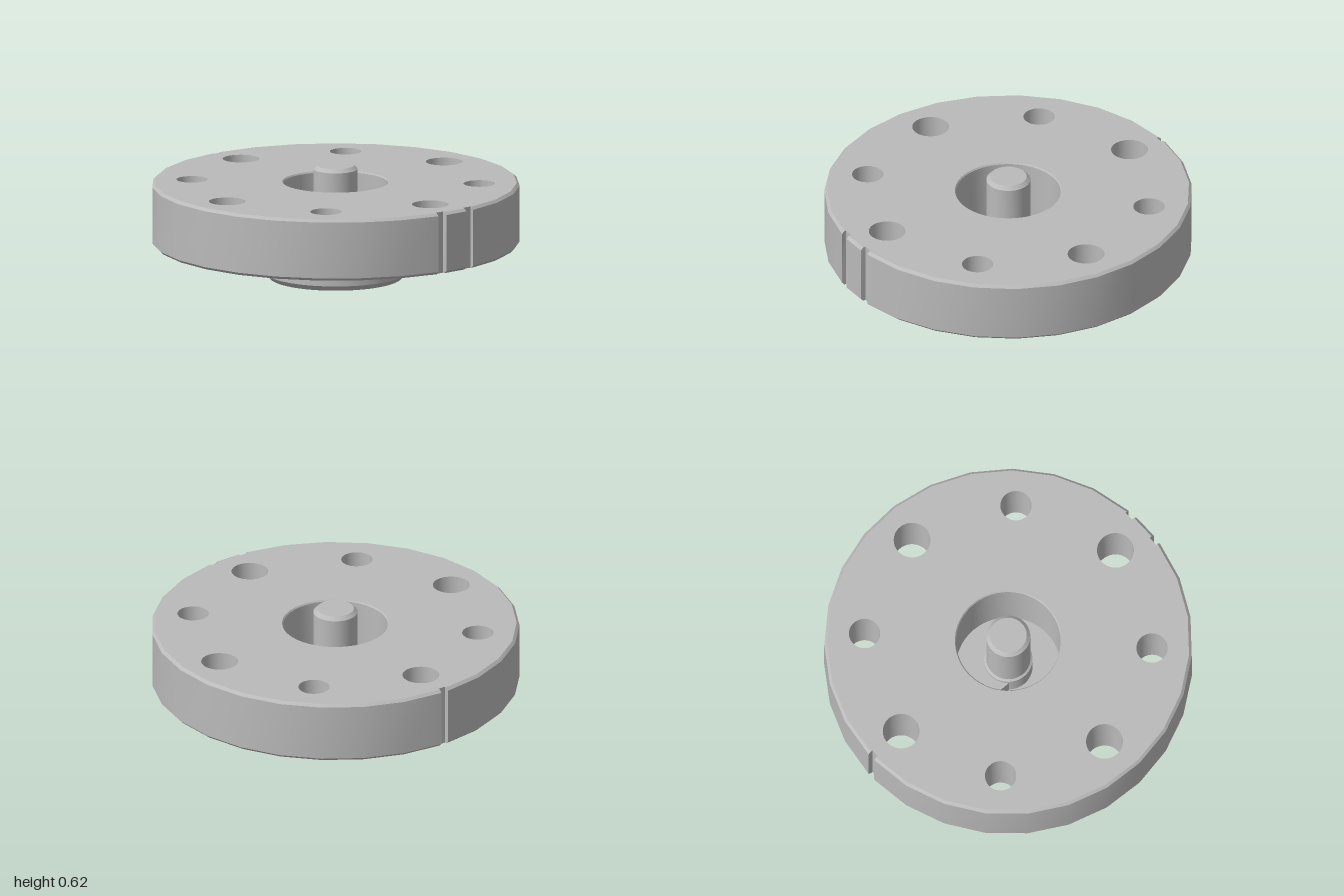
import * as THREE from 'three';
import { toCreasedNormals } from 'three/addons/utils/BufferGeometryUtils.js';

const TOP = 0.53, BOTTOM = 0.19, CHAMFER = 0.015;

export function createModel() {
  const group = new THREE.Group();
  const steel = new THREE.MeshStandardMaterial({ color: 0xbababa, side: THREE.DoubleSide });
  steel.name = 'steel grey';

  const add = (name, geometry, x = 0, z = 0) => {
    const mesh = new THREE.Mesh(toCreasedNormals(geometry, 0.45), steel);
    mesh.name = name;
    mesh.position.set(x, 0, z);
    group.add(mesh);
  };
  const lathe = (points, segments = 48) =>
    new THREE.LatheGeometry(points.map(([r, y]) => new THREE.Vector2(r, y)), segments);

  // Plate outline: faceted circle with two notches in front and one behind
  const rim = (x, sign) => [x, sign * Math.sqrt(1 - x * x)];
  const half = [rim(0.072, 1), [0.072, 0.968], [0.126, 0.968]];
  const a0 = Math.asin(0.126), a1 = Math.PI - Math.asin(0.022);
  for (let i = 0; i <= 13; i++) {
    const a = a0 + (a1 - a0) * i / 13;
    half.push([Math.sin(a), Math.cos(a)]);
  }
  half.push([0.022, -0.973]);
  const outline = [...half, ...half.map(([x, z]) => [-x, z]).reverse()];
  const inset = outline.map(([x, z]) => {
    const k = Math.min(1, (1 - CHAMFER) / Math.hypot(x, z));
    return [x * k, z * k];
  });

  // Rim wall with chamfered edges
  const rings = [[inset, BOTTOM], [outline, BOTTOM + CHAMFER], [outline, TOP - CHAMFER], [inset, TOP]];
  const pos = [];
  for (let r = 0; r < 3; r++) {
    const [lo, y0] = rings[r], [hi, y1] = rings[r + 1];
    for (let i = 0; i < outline.length; i++) {
      const j = (i + 1) % outline.length;
      const a = [lo[i][0], y0, lo[i][1]], b = [lo[j][0], y0, lo[j][1]];
      const c = [hi[j][0], y1, hi[j][1]], d = [hi[i][0], y1, hi[i][1]];
      pos.push(...a, ...b, ...c, ...a, ...c, ...d);
    }
  }
  const wall = new THREE.BufferGeometry();
  wall.setAttribute('position', new THREE.Float32BufferAttribute(pos, 3));
  add('plateRim', wall);

  // Eight through holes, alternating in size, and three blind drill points
  const holes = [], dimples = [];
  for (let i = 0; i < 8; i++) {
    const a = i * Math.PI / 4;
    holes.push([0.782 * Math.sin(a), 0.782 * Math.cos(a), i % 2 ? 0.085 : 0.1]);
  }
  for (let i = 0; i < 3; i++) {
    const a = Math.PI + i * Math.PI * 2 / 3;
    dimples.push([0.53 * Math.sin(a), 0.53 * Math.cos(a), 0.07]);
  }
  const cap = (openings, y, s) => {
    const shape = new THREE.Shape(inset.map(([x, z]) => new THREE.Vector2(x, -s * z)));
    for (const [x, z, r] of openings) {
      shape.holes.push(new THREE.Path().absarc(x, -s * z, r, 0, Math.PI * 2, true));
    }
    return new THREE.ShapeGeometry(shape, 24).rotateX(-s * Math.PI / 2).translate(0, y, 0);
  };
  add('plateTop', cap([...holes, [0, 0, 0.29]], TOP, 1));
  add('plateUnderside', cap([...holes, ...dimples, [0, 0, 0.388]], BOTTOM, -1));
  for (const [x, z, r] of holes) add('boltHole', lathe([[r, TOP], [r, BOTTOM]]), x, z);
  for (const [x, z, r] of dimples) add('drillPoint', lathe([[0, BOTTOM + 0.045], [r, BOTTOM]], 32), x, z);

  // Central bore, lower boss and pin
  add('centreBore', lathe([[0.29, TOP], [0.284, TOP - 0.008], [0.284, 0.12], [0, 0.12]]));
  add('boss', lathe([[0.256, 0.04], [0.256, 0], [0.36, 0], [0.39, 0.03], [0.39, BOTTOM]]));
  add('pinCollar', lathe([[0.132, 0.12], [0.132, 0.24], [0.118, 0.25]]));
  add('pin', lathe([[0.12, 0.12], [0.12, 0.6], [0.1, 0.62], [0, 0.62]]));

  // Cam lug reaching back from the pin, with a round end
  const end = Math.asin(0.1 / 0.243);
  const lug = new THREE.Shape();
  lug.moveTo(-0.1, 0);
  lug.lineTo(0.1, 0);
  lug.absarc(0, 0, 0.243, Math.PI / 2 - end, Math.PI / 2 + end, false);
  lug.closePath();
  add('camLug', new THREE.ExtrudeGeometry(lug, { depth: 0.1, bevelEnabled: false })
    .rotateX(-Math.PI / 2).translate(0, 0.12, 0));

  // Drive disc with a cross-shaped socket
  const disc = new THREE.Shape().absarc(0, 0, 0.256, 0, Math.PI * 2, false);
  const socket = [];
  for (let i = 0; i < 4; i++) {
    const o = new THREE.Vector2();
    for (const [x, y] of [[0.14, -0.028], [0.14, 0.028], [0.065, 0.032], [0.045, 0.045], [0.032, 0.065]]) {
      socket.push(new THREE.Vector2(x, y).rotateAround(o, i * Math.PI / 2));
    }
  }
  disc.holes.push(new THREE.Path(socket));
  add('driveDisc', new THREE.ExtrudeGeometry(disc, { depth: 0.075, bevelEnabled: false, curveSegments: 48 })
    .rotateX(-Math.PI / 2).translate(0, 0.04, 0));

  return group;
}
